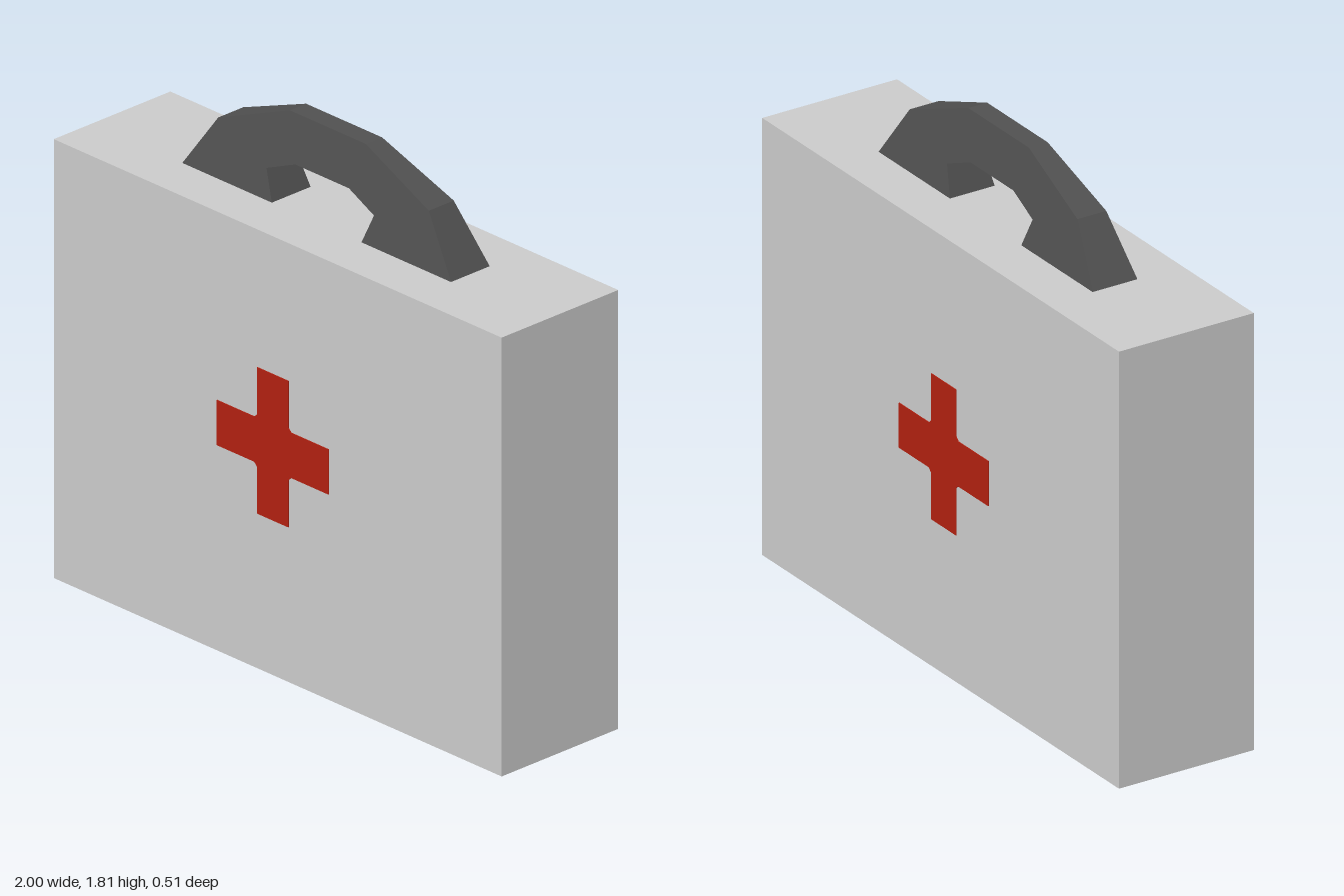
import * as THREE from 'three';

const shapeOf = (pts) => new THREE.Shape(pts.map(([x, y]) => new THREE.Vector2(x, y)));

export function createModel() {
  const group = new THREE.Group();
  group.name = 'firstAidCase';

  const casing = new THREE.MeshStandardMaterial({ name: 'light grey', color: 0xcacaca });
  const grip = new THREE.MeshStandardMaterial({ name: 'dark grey', color: 0x505050, flatShading: true });
  const red = new THREE.MeshStandardMaterial({ name: 'red', color: 0xb02010 });

  const add = (name, geometry, material) => {
    const mesh = new THREE.Mesh(geometry, material);
    mesh.name = name;
    group.add(mesh);
    return mesh;
  };

  // Case body
  add('caseBody', new THREE.BoxGeometry(2, 1.5, 0.5).translate(0, 0.75, 0), casing);

  // Arched handle: half outline mirrored in x, thinning towards the top
  const outer = [[0.6, 1.5], [0.47, 1.69], [0.17, 1.81]];
  const inner = [[0.12, 1.65], [0.24, 1.6], [0.2, 1.5]];
  const mirrored = (pts) => pts.map(([x, y]) => [-x, y]).reverse();
  const outline = [...outer, ...mirrored(outer), ...mirrored(inner), ...inner];
  const handle = new THREE.ExtrudeGeometry(shapeOf(outline), { depth: 2, bevelEnabled: false });
  handle.translate(0, 0, -1);
  const pos = handle.attributes.position;
  for (let i = 0; i < pos.count; i++) {
    const halfWidth = 0.083 - (pos.getY(i) - 1.5) * 0.155;
    pos.setZ(i, pos.getZ(i) * halfWidth);
  }
  handle.computeVertexNormals();
  add('handle', handle, grip);

  // Cross plates, with slightly filled inner corners
  const arm = 0.25, w = 0.07, h = 0.077, c = 0.012;
  const quarter = [[arm, h], [w + c, h], [w, h + c], [w, arm]];
  const flip = (pts, sx, sy) => pts.map(([x, y]) => [x * sx, y * sy]);
  const crossOutline = [
    ...quarter,
    ...flip(quarter, -1, 1).reverse(),
    ...flip(quarter, -1, -1),
    ...flip(quarter, 1, -1).reverse(),
  ];
  const plate = new THREE.ExtrudeGeometry(shapeOf(crossOutline), { depth: 0.004, bevelEnabled: false });
  add('frontCross', plate, red).position.set(-0.02, 0.78, 0.249);
  add('backCross', plate, red).position.set(-0.02, 0.755, -0.253);

  return group;
}
